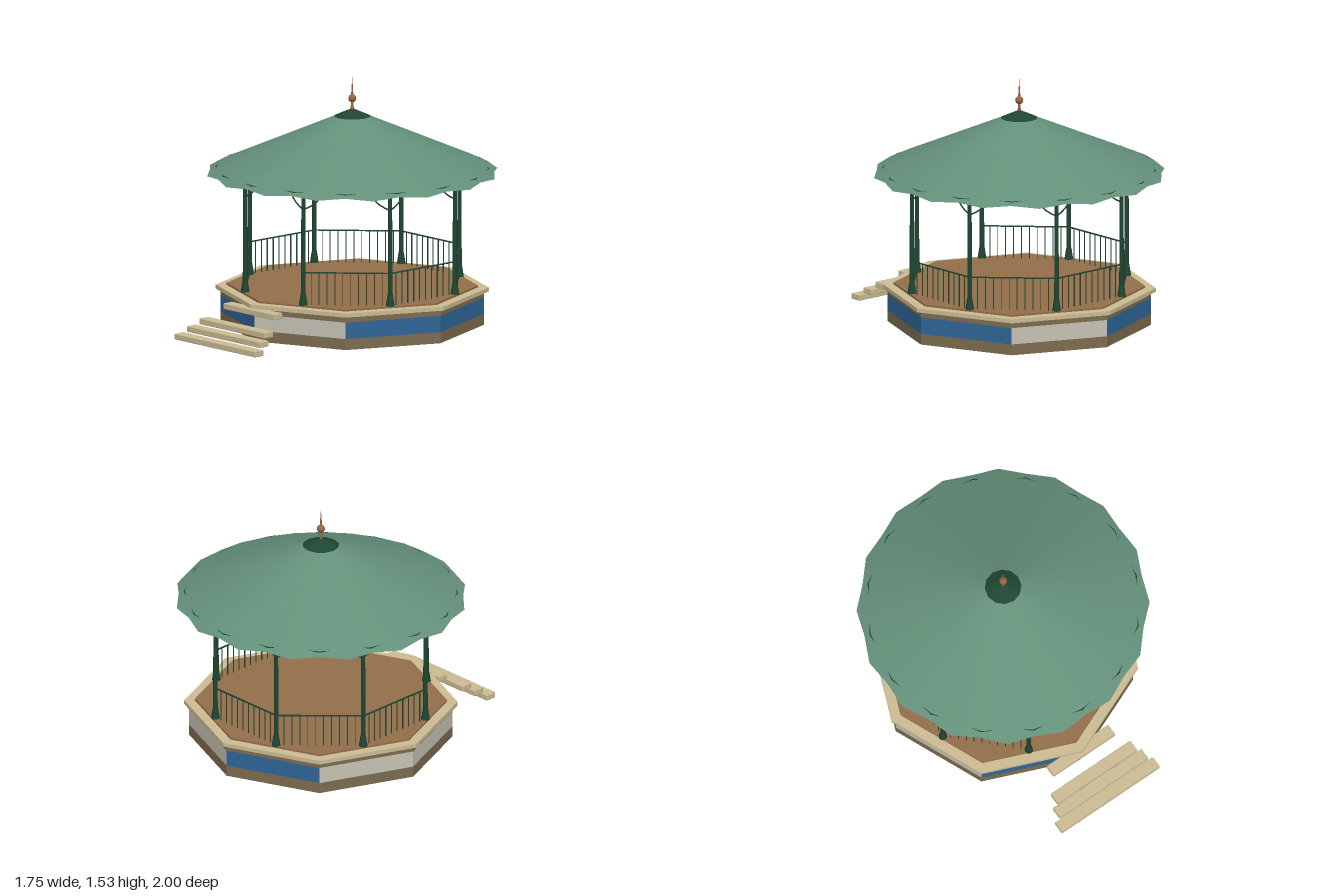
import * as THREE from 'three';
import { RoundedBoxGeometry } from 'three/addons/geometries/RoundedBoxGeometry.js';

const mat = (name, color, side = THREE.FrontSide) => {
  const m = new THREE.MeshStandardMaterial({ color, side });
  m.name = name;
  return m;
};

export function createModel() {
  const stone = mat('brown stone', 0x7d6b4f);
  const cream = mat('cream stone', 0xccbc94);
  const white = mat('white panel', 0xc6c3b4);
  const blue = mat('blue panel', 0x2f6698);
  const wood = mat('floor wood', 0x936f4b);
  const roofGreen = mat('roof green', 0x64907a, THREE.DoubleSide);
  const darkGreen = mat('dark green iron', 0x1f4632, THREE.DoubleSide);
  const copper = mat('copper', 0x9a6542);
  const glow = mat('lamp glass', 0xe2d2aa);

  const model = new THREE.Group();
  model.name = 'bandstand';
  const pavilion = new THREE.Group();
  pavilion.name = 'pavilion';
  pavilion.position.z = -0.125;
  model.add(pavilion);

  const add = (parent, name, geo, material, x = 0, y = 0, z = 0) => {
    const m = new THREE.Mesh(geo, material);
    m.name = name;
    m.position.set(x, y, z);
    parent.add(m);
    return m;
  };
  const flat = (geo) => {
    const g = geo.toNonIndexed();
    g.computeVertexNormals();
    return g;
  };
  // Octagonal slab between two heights, corners on the axes
  const slab = (name, r, y0, y1, material) =>
    add(pavilion, name, flat(new THREE.CylinderGeometry(r, r, y1 - y0, 8)), material, 0, (y0 + y1) / 2, 0);

  // Base
  slab('plinth', 0.8, 0, 0.068, stone);
  slab('upperCourse', 0.8, 0.17, 0.208, stone);
  slab('rim', 0.83, 0.207, 0.232, cream);
  slab('floor', 0.765, 0.231, 0.244, wood);
  [white, blue, blue, white, blue, white, white, blue].forEach((m, i) => {
    const g = new THREE.CylinderGeometry(0.8, 0.8, 0.102, 1, 1, true, i * Math.PI / 4, Math.PI / 4);
    add(pavilion, 'basePanel', flat(g), m, 0, 0.119, 0);
  });

  // Steps: half width, bottom, centre z
  [[0.365, 0, 0.963], [0.33, 0.043, 0.892], [0.297, 0.086, 0.822], [0.23, 0.171, 0.687]].forEach(([w, y, z]) => {
    add(model, 'step', new RoundedBoxGeometry(w * 2, 0.037, 0.074, 1, 0.005), cream, 0, y + 0.0185, z);
  });

  // Columns with flared feet, curved brackets and railings
  const R = 0.69;
  const half = R * Math.sin(Math.PI / 8);
  const apothem = R * Math.cos(Math.PI / 8);
  const columnGeo = new THREE.LatheGeometry([
    [0.027, 0], [0.025, 0.012], [0.017, 0.065], [0.0145, 0.075], [0.0115, 0.76],
  ].map(([r, y]) => new THREE.Vector2(r, y)), 8);
  const bracketGeo = (s) => new THREE.TubeGeometry(new THREE.QuadraticBezierCurve3(
    new THREE.Vector3(s * half, 0.835, 0),
    new THREE.Vector3(s * (half - 0.1), 0.87, 0),
    new THREE.Vector3(s * (half - 0.135), 0.965, 0)), 5, 0.005, 5);
  const brackets = [bracketGeo(-1), bracketGeo(1)];
  const bars = 11;
  for (let i = 0; i < 8; i++) {
    const a = i * Math.PI / 4;
    const c = a + Math.PI / 8;
    add(pavilion, 'column', columnGeo, darkGreen, R * Math.sin(c), 0.242, R * Math.cos(c));

    const bay = new THREE.Group();
    bay.name = i ? 'railedBay' : 'entranceBay';
    bay.rotation.y = a;
    bay.position.set(apothem * Math.sin(a), 0, apothem * Math.cos(a));
    pavilion.add(bay);
    brackets.forEach((g) => add(bay, 'bracket', g, darkGreen));
    add(bay, 'eaveBeam', new THREE.BoxGeometry(half * 2, 0.02, 0.015), darkGreen, 0, 0.972, 0);
    if (i === 0) continue;
    add(bay, 'handrail', new THREE.BoxGeometry(half * 2, 0.007, 0.009), darkGreen, 0, 0.444, 0);
    for (let k = 1; k < bars; k++) {
      add(bay, 'baluster', new THREE.BoxGeometry(0.005, 0.2, 0.005), darkGreen, half * (2 * k / bars - 1), 0.342, 0);
    }
  }

  // Roof cone with a scalloped edge
  const roofGeo = new THREE.LatheGeometry([
    [0.89, 0.938], [0.83, 0.967], [0.5, 1.112], [0.1, 1.288], [0.001, 1.328],
  ].map(([r, y]) => new THREE.Vector2(r, y)), 32);
  const p = roofGeo.attributes.position;
  for (let i = 0; i < p.count; i++) {
    const column = Math.floor(i / 5);
    if (i % 5 === 0 && column % 2 === 0) {
      const s = 0.864 / 0.89;
      p.setXYZ(i, p.getX(i) * s, 0.951, p.getZ(i) * s);
    }
  }
  roofGeo.computeVertexNormals();
  add(pavilion, 'roof', roofGeo, roofGreen);
  add(pavilion, 'ceiling', new THREE.ConeGeometry(0.825, 0.355, 32, 1, true), darkGreen, 0, 0.957 + 0.1775, 0);
  const trim = add(pavilion, 'eaveTrim', new THREE.TorusGeometry(0.828, 0.006, 4, 16), darkGreen, 0, 0.965, 0);
  trim.rotation.x = Math.PI / 2;
  add(pavilion, 'roofCap', new THREE.ConeGeometry(0.112, 0.05, 12), darkGreen, 0, 1.311, 0);

  // Finial
  add(pavilion, 'finialStem', new THREE.CylinderGeometry(0.006, 0.011, 0.06, 8), copper, 0, 1.352, 0);
  add(pavilion, 'finialBall', new THREE.SphereGeometry(0.025, 12, 8), copper, 0, 1.396, 0);
  add(pavilion, 'finialSpike', new THREE.ConeGeometry(0.008, 0.12, 6), copper, 0, 1.47, 0);

  // Hanging lamp
  add(pavilion, 'lampRod', new THREE.CylinderGeometry(0.004, 0.004, 0.36, 6), darkGreen, 0, 1.12, 0);
  add(pavilion, 'lamp', new THREE.SphereGeometry(0.044, 16, 12), glow, 0, 0.908, 0);

  return model;
}
